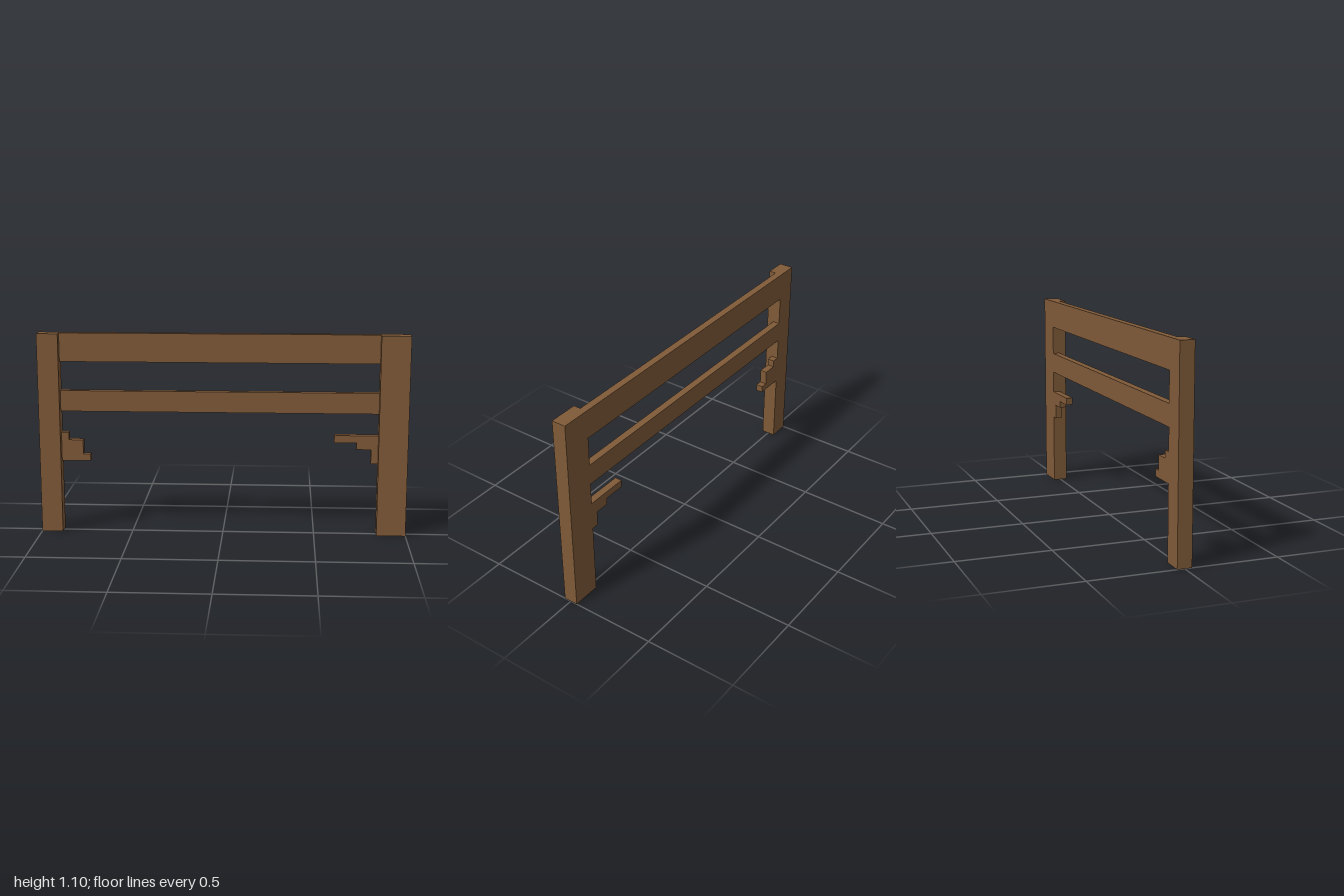
import * as THREE from 'three';

const HALF = 0.039;   // half thickness of the posts
const HEIGHT = 1.1;
const LEFT_IN = 0.842, RIGHT_IN = -0.885;   // inner faces of the posts

export function createModel() {
  const group = new THREE.Group();
  const wood = new THREE.MeshStandardMaterial({ color: 0x805a38 });
  wood.name = 'brown wood';

  const add = (name, geometry) => {
    const mesh = new THREE.Mesh(geometry, wood);
    mesh.name = name;
    group.add(mesh);
    return mesh;
  };

  const box = (name, x0, x1, y0, y1, z0, z1) =>
    add(name, new THREE.BoxGeometry(x1 - x0, y1 - y0, z1 - z0))
      .position.set((x0 + x1) / 2, (y0 + y1) / 2, (z0 + z1) / 2);

  // stepped bracket, as thick as the rails and flush with the back
  const bracket = (name, points) => {
    const shape = new THREE.Shape(points.map(([x, y]) => new THREE.Vector2(x, y)));
    add(name, new THREE.ExtrudeGeometry(shape, { depth: HALF, bevelEnabled: false }))
      .position.z = -HALF;
  };

  // posts, the left one wider
  box('rightPost', -1, RIGHT_IN, 0, HEIGHT, -HALF, HALF);
  box('leftPost', LEFT_IN, 1, 0, HEIGHT, -HALF, HALF);

  // rails, set in the back half
  box('topRail', RIGHT_IN, LEFT_IN, 0.944, HEIGHT, -HALF, 0);
  box('middleRail', RIGHT_IN, LEFT_IN, 0.671, 0.785, -HALF, 0);

  // brackets: one steps out towards the bottom, the other towards the top
  bracket('rightBracket', [
    [RIGHT_IN, 0.394], [-0.727, 0.394], [-0.727, 0.432], [-0.767, 0.432],
    [-0.767, 0.511], [-0.845, 0.511], [-0.845, 0.551], [RIGHT_IN, 0.551],
  ]);
  bracket('leftBracket', [
    [LEFT_IN, 0.394], [LEFT_IN, 0.551], [0.604, 0.551], [0.604, 0.511],
    [0.724, 0.511], [0.724, 0.474], [0.804, 0.474], [0.804, 0.394],
  ]);

  return group;
}
